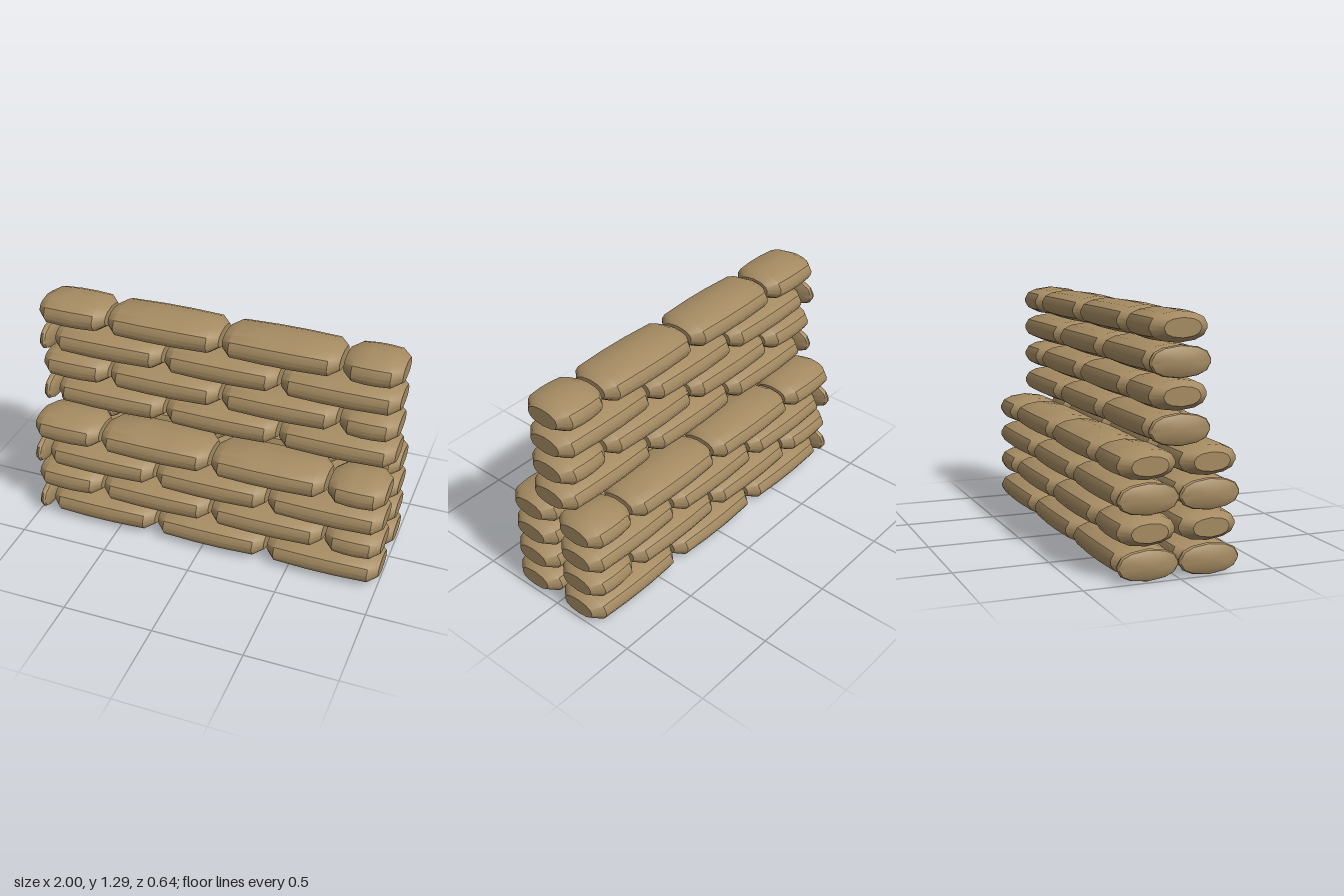
import * as THREE from 'three';
import { toCreasedNormals } from 'three/addons/utils/BufferGeometryUtils.js';

// Cross-section of a full sandbag as [z, y], from the top round by +z
const quarter = [[0, 0.08], [0.09, 0.068], [0.138, 0.046], [0.159, 0.01]];
const section = [
  ...quarter,
  ...quarter.slice().reverse().map(([z, y]) => [z, -y]),
  ...quarter.slice(1).map(([z, y]) => [-z, -y]),
  ...quarter.slice(1).reverse().map(([z, y]) => [-z, y]),
];

// Sandbag lofted along x: flat ends, bevelled shoulders and a slight belly
function bagGeometry(length) {
  const bevel = length < 0.1 ? 0.016 : 0.052;
  const h = length / 2;
  const rings = [
    [-h, 0.6], [-h + bevel, 0.95], [-0.3 * (h - bevel), 1],
    [0.3 * (h - bevel), 1], [h - bevel, 0.95], [h, 0.6],
  ];
  const n = section.length;
  const positions = [];
  const index = [];
  for (const [x, s] of rings) {
    for (const [z, y] of section) positions.push(x, y * s, z * s);
  }
  for (let i = 0; i < rings.length - 1; i++) {
    for (let j = 0; j < n; j++) {
      const a = i * n + j, b = i * n + (j + 1) % n;
      index.push(a, b, a + n, b, b + n, a + n);
    }
  }
  // End caps
  const left = rings.length * n, right = left + 1, last = (rings.length - 1) * n;
  positions.push(-h, 0, 0, h, 0, 0);
  for (let j = 0; j < n; j++) {
    const k = (j + 1) % n;
    index.push(left, k, j, right, last + j, last + k);
  }
  const geometry = new THREE.BufferGeometry();
  geometry.setAttribute('position', new THREE.Float32BufferAttribute(positions, 3));
  geometry.setIndex(index);
  return toCreasedNormals(geometry, 0.61);
}

export function createModel() {
  const model = new THREE.Group();
  model.name = 'sandbagWall';
  const burlap = new THREE.MeshStandardMaterial({ color: 0xa58b62 });
  burlap.name = 'burlap';

  // Start and end of each bag in the two alternating courses
  const courses = [
    [[-1, -0.94], [-0.92, -0.295], [-0.275, 0.352], [0.372, 1]],
    [[-1, -0.615], [-0.597, 0.028], [0.048, 0.675], [0.695, 1]],
  ].map((course) => course.map(([start, end]) => ({
    x: (start + end) / 2,
    geometry: bagGeometry(end - start),
  })));

  // Four double rows below, four single rows above
  for (let row = 0; row < 8; row++) {
    const course = new THREE.Group();
    course.name = `course${row + 1}`;
    for (const z of row < 4 ? [-0.161, 0.161] : [0]) {
      for (const { x, geometry } of courses[row % 2]) {
        const bag = new THREE.Mesh(geometry, burlap);
        bag.name = 'sandbag';
        bag.position.set(x, 0.08 + row * 0.162, z);
        course.add(bag);
      }
    }
    model.add(course);
  }
  return model;
}
